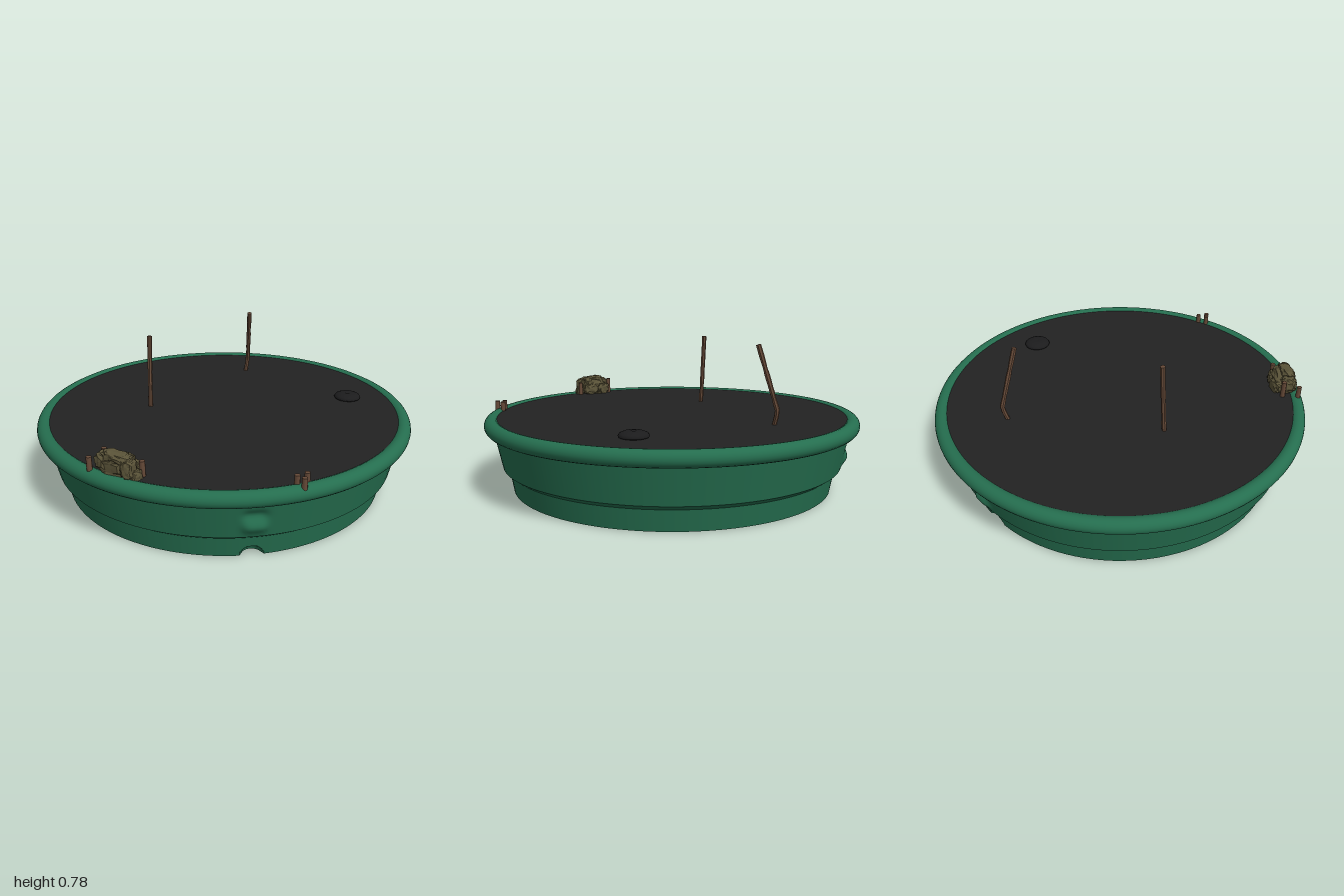
import * as THREE from 'three';
import { toCreasedNormals } from 'three/addons/utils/BufferGeometryUtils.js';

const mat = (name, color, extra = {}) => {
  const m = new THREE.MeshStandardMaterial({ color, ...extra });
  m.name = name;
  return m;
};

let seed = 7;
const rand = () => (seed = (seed * 16807) % 2147483647) / 2147483647;

function add(parent, name, geometry, material, x = 0, y = 0, z = 0) {
  const mesh = new THREE.Mesh(geometry, material);
  mesh.name = name;
  mesh.position.set(x, y, z);
  parent.add(mesh);
  return mesh;
}

// Stepped wall and closed floor, with a grip and a drain notch at front and back
function tubGeometry() {
  const corners = [[0, 0], [0.78, 0], [0.86, 0], [0.878, 0.105], [0.912, 0.13], [0.955, 0.33]];
  const steps = [1, 1, 14, 3, 18];
  const points = [new THREE.Vector2(0, 0)];
  steps.forEach((n, i) => {
    const a = new THREE.Vector2(...corners[i]), b = new THREE.Vector2(...corners[i + 1]);
    for (let k = 1; k <= n; k++) points.push(a.clone().lerp(b, k / n));
  });
  const geo = new THREE.LatheGeometry(points, 160);
  const p = geo.attributes.position;
  for (let i = 0; i < p.count; i++) {
    let r = Math.hypot(p.getX(i), p.getZ(i));
    const y = p.getY(i);
    if (r < 0.01) continue;
    // Gather the columns towards the front and back where the detail is
    let a = Math.atan2(p.getX(i), p.getZ(i));
    a -= 0.4 * Math.sin(2 * a);
    const x = r * Math.sin(a);
    const notch = 0.05 ** 2 - x * x - y * y;
    if (r > 0.8 && notch > 0) r -= Math.sqrt(notch);
    if (y > 0.13) {
      const across = Math.exp(-((x / 0.055) ** 4));
      r += across * (0.018 * Math.exp(-(((y - 0.185) / 0.03) ** 2))
        - 0.016 * Math.exp(-(((y - 0.25) / 0.025) ** 2)));
    }
    p.setX(i, r * Math.sin(a));
    p.setZ(i, r * Math.cos(a));
  }
  return toCreasedNormals(geo, 0.5);
}

// Slightly knobbly twig following a bent path
function twigGeometry(points, radius) {
  const path = new THREE.CurvePath();
  const v = points.map((q) => new THREE.Vector3(...q));
  for (let i = 1; i < v.length; i++) path.add(new THREE.LineCurve3(v[i - 1], v[i]));
  const rings = 14, sides = 7;
  const geo = new THREE.TubeGeometry(path, rings, radius, sides, false);
  const p = geo.attributes.position;
  for (let i = 0; i <= rings; i++) {
    const c = path.getPointAt(i / rings);
    // Pinch the last ring shut so that the tip is closed
    const s = i === 0 || i === rings ? 0.05 : 0.88 + 0.24 * rand();
    for (let j = 0; j <= sides; j++) {
      const k = i * (sides + 1) + j;
      const q = new THREE.Vector3().fromBufferAttribute(p, k).sub(c).multiplyScalar(s).add(c);
      p.setXYZ(k, q.x, q.y, q.z);
    }
  }
  // Pull the neighbouring rings outward to make blunt ends
  for (const [ring, end] of [[1, v[0]], [rings - 1, v[v.length - 1]]]) {
    const c = path.getPointAt(ring / rings);
    for (let j = 0; j <= sides; j++) {
      const k = ring * (sides + 1) + j;
      p.setXYZ(k, p.getX(k) + (end.x - c.x) * 0.95, p.getY(k) + (end.y - c.y) * 0.95,
        p.getZ(k) + (end.z - c.z) * 0.95);
    }
  }
  return toCreasedNormals(geo, 0.7);
}

// Rough stone: a ball pushed towards a block and chipped by a fixed rule
function stoneGeometry(w, h, d, phase) {
  const geo = new THREE.IcosahedronGeometry(1, 3);
  const p = geo.attributes.position;
  const v = new THREE.Vector3();
  for (let i = 0; i < p.count; i++) {
    v.fromBufferAttribute(p, i);
    const chip = 1 + 0.1 * Math.sin(7 * v.x + phase) * Math.cos(6 * v.y - phase)
      + 0.07 * Math.sin(11 * v.z + 5 * v.x + phase);
    const block = (t) => Math.sign(t) * Math.abs(t) ** 0.65;
    p.setXYZ(i, block(v.x) * chip * w, block(v.y) * chip * h, block(v.z) * chip * d);
  }
  geo.computeVertexNormals();
  return geo;
}

export function createModel() {
  const green = mat('green plastic', 0x256e4f);
  const dark = mat('dark water', 0x222222);
  const black = mat('black rubber', 0x1c1c1d);
  const brown = mat('brown wood', 0x664a38);
  const olive = mat('olive stone', 0x5a5338, { flatShading: true });

  const model = new THREE.Group();
  model.name = 'pool';

  // Tub
  add(model, 'tub', tubGeometry(), green);
  const rim = add(model, 'rim', new THREE.TorusGeometry(0.96, 0.04, 20, 128), green, 0, 0.35, 0);
  rim.rotation.x = Math.PI / 2;
  const water = add(model, 'waterSurface', new THREE.CircleGeometry(0.95, 128), dark, 0, 0.381, 0);
  water.rotation.x = -Math.PI / 2;

  // Floating cap with a small centre button
  const capProfile = [[0.05, 0], [0.07, 0.006], [0.073, 0.013], [0.066, 0.024], [0.045, 0.033],
    [0.014, 0.036], [0.011, 0.032], [0, 0.032]].map((q) => new THREE.Vector2(...q));
  add(model, 'floatingCap', new THREE.LatheGeometry(capProfile, 32), black, 0.712, 0.379, -0.025);

  // Tall twigs standing in the water
  const twigs = [
    [[-0.4, 0.37, -0.066], [-0.398, 0.45, -0.072], [-0.39, 0.775, -0.088]],
    [[0.225, 0.37, -0.588], [0.242, 0.45, -0.607], [0.23, 0.775, -0.503]],
  ];
  twigs.forEach((t) => add(model, 'tallTwig', twigGeometry(t, 0.0125), brown));

  // Short cut stubs on the front rim and around the stones
  const stubs = [[0.178, 0.43, 0.927], [0.203, 0.43, 0.957], [0.227, 0.43, 0.91],
    [-0.702, 0.452, 0.667], [-0.635, 0.47, 0.622], [-0.615, 0.445, 0.648], [-0.47, 0.455, 0.748]];
  stubs.forEach(([x, top, z]) => {
    const h = top - 0.35;
    add(model, 'woodStub', new THREE.CylinderGeometry(0.013, 0.014, h, 8), brown, x, top - h / 2, z);
  });

  // Stone pile lying along the rim
  const pile = new THREE.Group();
  pile.name = 'stonePile';
  pile.position.set(-0.575, 0.38, 0.7);
  pile.rotation.y = -0.66;
  model.add(pile);
  const stones = [ // x, y, z, half width, half height, half depth
    [0, 0.04, 0, 0.085, 0.052, 0.055],
    [0.012, 0.089, 0.018, 0.068, 0.022, 0.036],
    [-0.06, 0.055, 0.012, 0.038, 0.042, 0.042],
    [0.075, 0.05, 0.024, 0.032, 0.046, 0.035],
    [0.045, 0.03, -0.04, 0.045, 0.032, 0.028],
    [-0.035, 0.03, -0.045, 0.045, 0.034, 0.028],
    [0.1, 0.015, 0.01, 0.024, 0.03, 0.03],
  ];
  stones.forEach(([x, y, z, w, h, d], i) => {
    const s = add(pile, 'stone', stoneGeometry(w, h, d, i * 1.7), olive, x, y, z);
    s.rotation.set(0.1 * Math.sin(i * 2), 0.3 * Math.sin(i * 3), 0.15 * Math.cos(i * 2));
  });
  return model;
}
